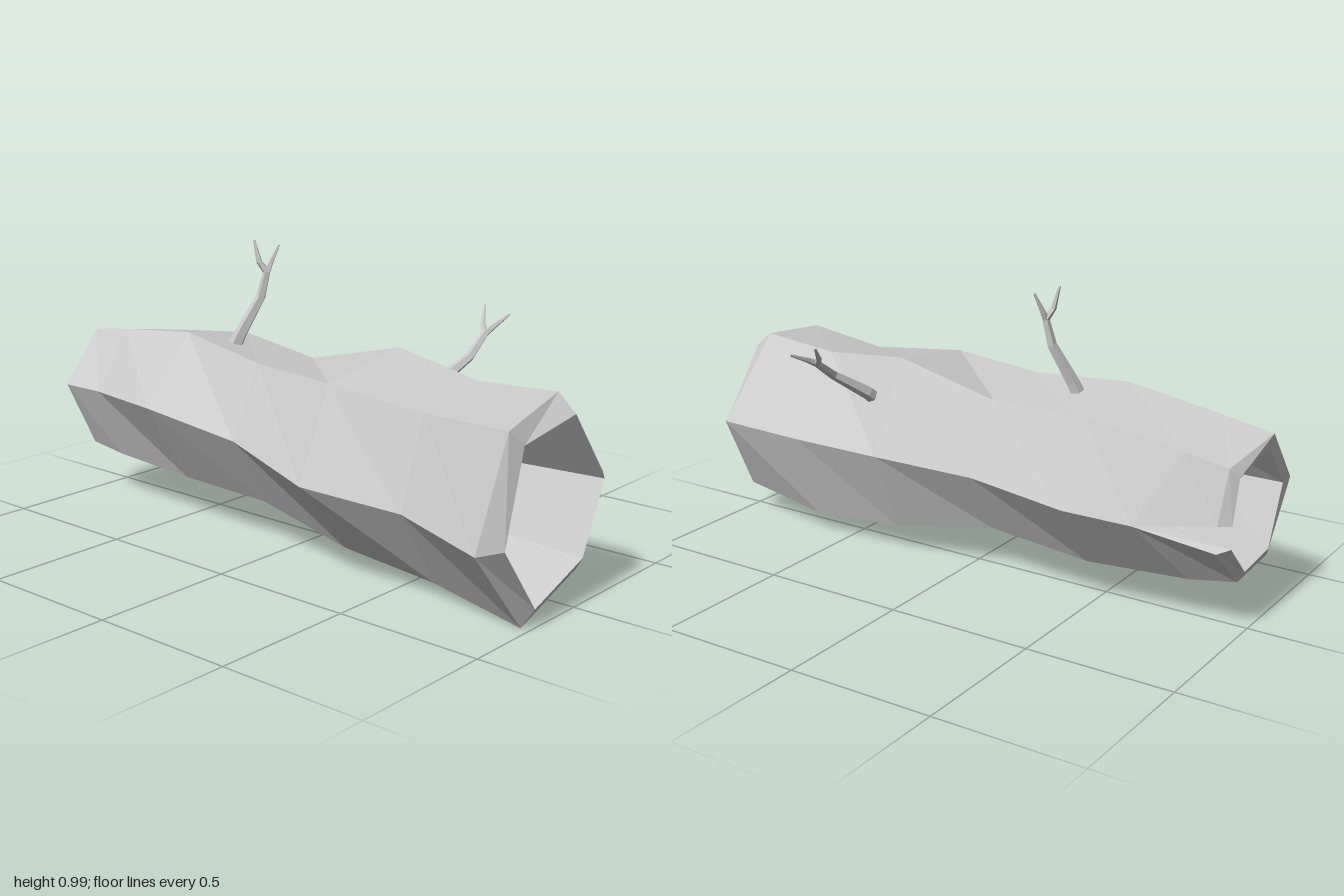
import * as THREE from 'three';

const V = (x, y, z) => new THREE.Vector3(x, y, z);
const bark = new THREE.MeshStandardMaterial({ color: 0xcccccc, flatShading: true, side: THREE.DoubleSide });

function meshOf(name, tris) {
  const geo = new THREE.BufferGeometry().setFromPoints(tris);
  geo.computeVertexNormals();
  const mesh = new THREE.Mesh(geo, bark);
  mesh.name = name;
  return mesh;
}

// Joins closed rings into a faceted skin with fan caps; open(r, i) leaves a gap
function loft(rings, open = () => false) {
  const tris = [];
  const n = rings[0].length;
  for (let r = 0; r < rings.length - 1; r++) {
    for (let i = 0; i < n; i++) {
      if (open(r, i)) continue;
      const j = (i + 1) % n, a = rings[r], b = rings[r + 1];
      tris.push(a[i], a[j], b[j], a[i], b[j], b[i]);
    }
  }
  const first = rings[0], last = rings[rings.length - 1];
  const c0 = centre(first), c1 = centre(last);
  for (let i = 0; i < n; i++) {
    const j = (i + 1) % n;
    tris.push(c0, first[j], first[i], c1, last[i], last[j]);
  }
  return tris;
}

function centre(ring) {
  return ring.reduce((s, p) => s.add(p), V(0, 0, 0)).divideScalar(ring.length);
}

// Six-sided trunk sections from +x to -x: x, then [z, y] for each corner
const sections = [
  [0.96, [0.34, 0.62], [0.02, 0.665], [-0.195, 0.378], [-0.065, 0.105], [0.24, 0], [0.44, 0.267]],
  [0.63, [0.28, 0.6], [0, 0.645], [-0.205, 0.375], [-0.1, 0.07], [0.21, 0.045], [0.38, 0.31]],
  [0.28, [0.3, 0.635], [-0.055, 0.69], [-0.215, 0.38], [-0.095, 0.09], [0.22, 0.08], [0.437, 0.335]],
  [-0.09, [0.225, 0.63], [-0.05, 0.6], [-0.185, 0.37], [-0.06, 0.155], [0.2, 0.15], [0.345, 0.39]],
  [-0.47, [0.17, 0.672], [-0.12, 0.625], [-0.252, 0.36], [-0.08, 0.13], [0.19, 0.155], [0.37, 0.44]],
  [-0.82, [0.14, 0.63], [-0.13, 0.585], [-0.225, 0.35], [-0.06, 0.145], [0.18, 0.17], [0.285, 0.425]],
  [-0.985, [0.125, 0.605], [-0.13, 0.56], [-0.175, 0.345], [-0.04, 0.165], [0.17, 0.185], [0.275, 0.42]],
];

// Corner 2 is doubled so that the trunk can split along it
function section([x, ...pts], gap = 0) {
  const ring = pts.map(([z, y]) => V(x, y, z));
  const low = ring[2].clone();
  ring[2].y += gap / 2;
  low.y -= gap / 2;
  ring.splice(3, 0, low);
  return ring;
}

function inset(ring, k, x) {
  const c = centre(ring);
  return ring.map(p => V(x, c.y + (p.y - c.y) * k, c.z + (p.z - c.z) * k));
}

function makeTrunk() {
  const outer = sections.map((s, i) => section(s, i === 6 ? 0.09 : 0));
  // uneven sawn edges
  [0.975, 0.93, 0.965, 0.97, 0.97, 0.97, 0.94].forEach((x, i) => { outer[0][i].x = x; });
  [-1, -0.97, -0.96, -0.96, -0.975, -0.98, -1].forEach((x, i) => { outer[6][i].x = x; });
  outer[5][2].x = outer[5][3].x = -0.7;

  // hollow, rim, outside, rim, hollow
  const rings = [
    inset(outer[0], 0.6, 0.2), inset(outer[0], 0.83, 1),
    ...outer,
    inset(outer[6], 0.83, -0.995), inset(outer[5], 0.78, -0.72), inset(outer[4], 0.6, -0.3),
  ];
  const end = 8;
  const tris = loft(rings, (r, i) => i === 2 && r >= end - 1 && r <= end + 1);

  // thickness of the two lips of the split
  for (const i of [2, 3]) {
    const [a, b, c, d] = [end - 1, end, end + 1, end + 2].map(r => rings[r][i]);
    tris.push(...(i === 2 ? [a, b, c, a, c, d] : [a, c, b, a, d, c]));
  }
  return meshOf('hollowTrunk', tris);
}

// Tapered five-sided twig through points of the form [x, y, z, radius]
function makeTwig(name, path) {
  const pts = path.map(p => V(p[0], p[1], p[2]));
  const rings = pts.map((p, k) => {
    const d = pts[Math.min(k + 1, pts.length - 1)].clone().sub(pts[Math.max(k - 1, 0)]).normalize();
    const u = V(1, 0, 0).addScaledVector(d, -d.x).normalize();
    const v = d.clone().cross(u);
    return Array.from({ length: 5 }, (_, i) => {
      const t = i / 5 * Math.PI * 2, r = path[k][3];
      return p.clone().addScaledVector(u, Math.cos(t) * r).addScaledVector(v, Math.sin(t) * r);
    });
  });
  return meshOf(name, loft(rings));
}

function makeBranch(name, stem, forks) {
  const branch = new THREE.Group();
  branch.name = name;
  branch.add(makeTwig('stem', stem));
  forks.forEach(f => branch.add(makeTwig('fork', [stem[stem.length - 1], ...f])));
  return branch;
}

export function createModel() {
  const log = new THREE.Group();
  log.name = 'hollowLog';
  log.add(makeTrunk());
  log.add(makeBranch('uprightBranch',
    [[-0.335, 0.61, 0.09, 0.026], [-0.315, 0.67, 0.072, 0.023], [-0.265, 0.8, 0.02, 0.017], [-0.25, 0.885, 0.006, 0.013]],
    [
      [[-0.268, 0.92, 0.024, 0.01], [-0.287, 0.993, 0.028, 0.004]],
      [[-0.247, 0.91, -0.007, 0.01], [-0.232, 0.975, -0.037, 0.004]],
    ]));
  log.add(makeBranch('backBranch',
    [[0.365, 0.53, -0.075, 0.027], [0.375, 0.57, -0.125, 0.024], [0.425, 0.65, -0.24, 0.016], [0.42, 0.712, -0.33, 0.013]],
    [
      [[0.395, 0.735, -0.352, 0.01], [0.36, 0.79, -0.412, 0.004]],
      [[0.428, 0.728, -0.36, 0.01], [0.442, 0.762, -0.438, 0.004]],
    ]));
  return log;
}
